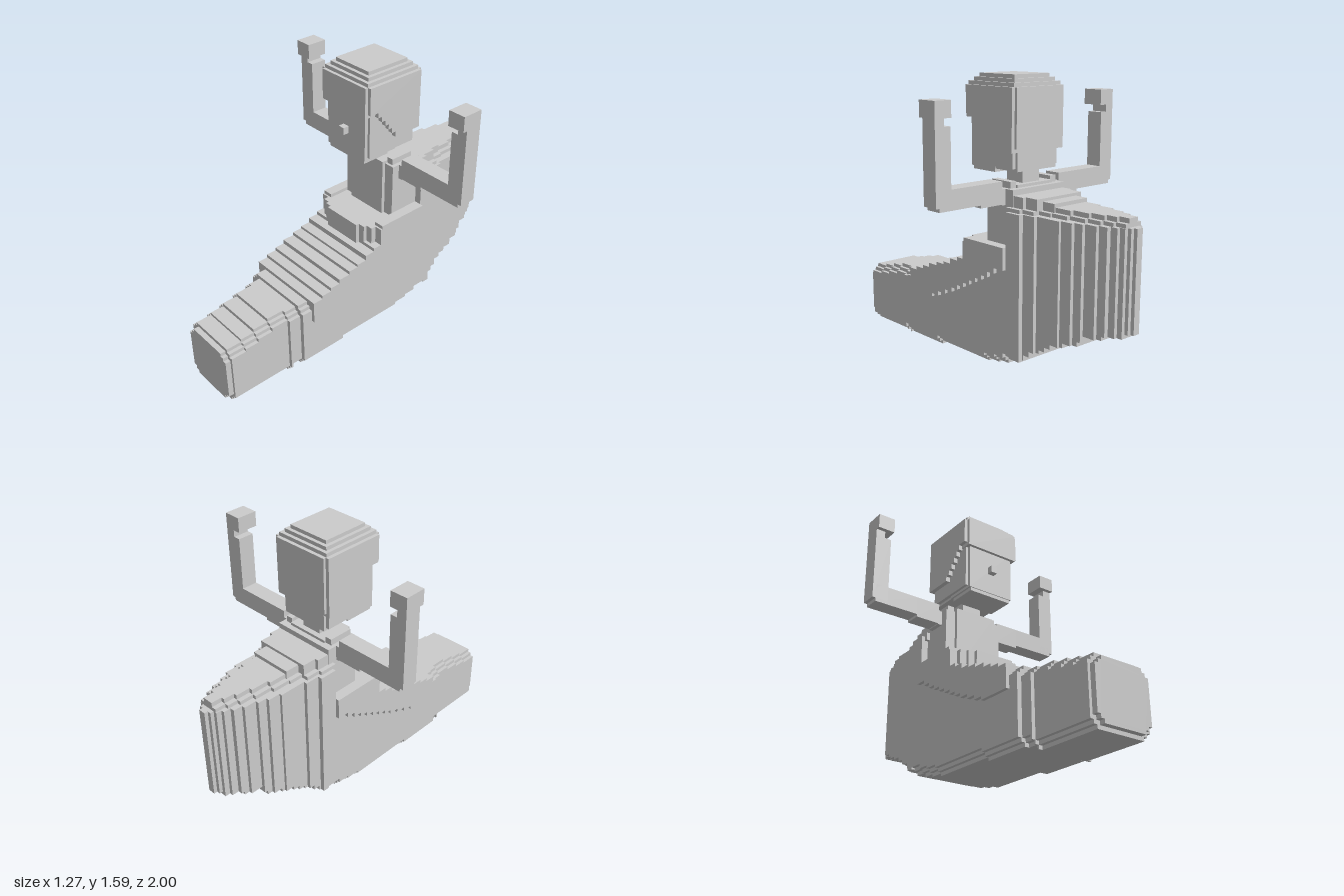
import * as THREE from 'three';

const material = new THREE.MeshStandardMaterial({ color: 0xcccccc, flatShading: true });
const U = 0.02; // size of one stair step

function add(parent, geometry, name) {
  const mesh = new THREE.Mesh(geometry, material);
  mesh.name = name;
  parent.add(mesh);
  return mesh;
}

// Box given by its limits
function block(parent, name, x0, x1, y0, y1, z0, z1) {
  const g = new THREE.BoxGeometry(x1 - x0, y1 - y0, z1 - z0);
  g.translate((x0 + x1) / 2, (y0 + y1) / 2, (z0 + z1) / 2);
  return add(parent, g, name);
}

// Slab along z with stair-stepped corners: lo steps at the bottom, hi steps at the top
function slab(parent, name, half, y0, y1, z0, z1, lo = 0, hi = 0) {
  const right = [];
  for (let i = lo; i >= 0; i--) {
    const x = Math.max(half - i * U, 0.01);
    right.push([x, y0 + (lo - i) * U]);
    if (i > 0) right.push([x, y0 + (lo - i + 1) * U]);
  }
  for (let i = 0; i <= hi; i++) {
    const x = Math.max(half - i * U, 0.01);
    if (i > 0) right.push([x, y1 - (hi - i + 1) * U]);
    right.push([x, y1 - (hi - i) * U]);
  }
  const left = right.map(([x, y]) => [-x, y]).reverse();
  const shape = new THREE.Shape([...right, ...left].map(([x, y]) => new THREE.Vector2(x, y)));
  const g = new THREE.ExtrudeGeometry(shape, { depth: z1 - z0, bevelEnabled: false });
  g.translate(0, 0, z0);
  return add(parent, g, name);
}

// Step tables, front to back: [z where the step ends, value]
const bottoms = [[0.97, 0.02], [0.6, 0], [0.26, 0.025], [-0.15, 0.045], [-0.23, 0.06], [-0.3, 0.075],
  [-0.38, 0.1], [-0.43, 0.13], [-0.47, 0.16], [-0.52, 0.19], [-0.56, 0.21], [-0.6, 0.235],
  [-0.67, 0.26], [-0.75, 0.285], [-0.77, 0.31], [-0.87, 0.34], [-0.96, 0.36], [-1, 0.38]];
const tops = [[0.97, 0.335], [0.88, 0.355], [0.8, 0.37], [0.71, 0.39], [0.54, 0.41], [0.48, 0.43],
  [0.42, 0.45], [0.36, 0.47], [0.3, 0.49], [0.23, 0.515], [0.17, 0.535], [0.11, 0.55], [0.05, 0.58],
  [0, 0.6], [-0.32, 0.7], [-1, 0.905]];
const halves = [[0.97, 0.165], [0.61, 0.18], [0.54, 0.2], [-0.42, 0.225], [-0.5, 0.2], [-0.65, 0.18],
  [-0.72, 0.165], [-0.77, 0.145], [-0.84, 0.125], [-0.89, 0.105], [-0.93, 0.08], [-0.96, 0.06],
  [-0.98, 0.04], [-1, 0.02]];
const lapEdges = [[0.28, 0.32], [0.22, 0.34], [0.16, 0.365], [0.1, 0.39], [0.05, 0.415], [0, 0.44],
  [-0.05, 0.465], [-0.1, 0.49], [-0.15, 0.515], [-0.2, 0.54], [-0.25, 0.57], [-0.32, 0.6]];
const at = (table, z) => (table.find(([end]) => z >= end) || table[table.length - 1])[1];

// Calls fn(zBack, zFront, zMiddle) between all breaks of the given tables
function eachStep(from, to, tables, fn) {
  const cuts = new Set([from, to]);
  tables.forEach(t => t.forEach(([z]) => { if (z < from && z > to) cuts.add(z); }));
  const zs = [...cuts].sort((a, b) => b - a);
  for (let i = 0; i + 1 < zs.length; i++) fn(zs[i + 1], zs[i], (zs[i] + zs[i + 1]) / 2);
}

function buildBody() {
  const body = new THREE.Group();
  body.name = 'body';
  // Long hull rising towards the pointed back
  eachStep(1, -1, [bottoms, tops, halves], (z0, z1, z) => {
    slab(body, 'hullSlab', at(halves, z), at(bottoms, z), at(tops, z), z0, z1,
      z > -0.4 ? 2 : 0, z > 0.48 ? 2 : 0);
  });
  // Wider lap over the middle
  eachStep(0.48, -0.32, [lapEdges, tops], (z0, z1, z) => {
    slab(body, 'lapSlab', 0.245, at(lapEdges, z), at(tops, z), z0, z1);
  });
  // Raised cap over the back
  const cap = [[-0.4, 0.18, 0.985], [-0.48, 0.16, 0.985], [-0.56, 0.12, 0.97], [-0.66, 0.11, 0.95],
    [-0.76, 0.09, 0.95], [-0.84, 0.07, 0.95], [-0.9, 0.05, 0.95], [-0.96, 0.03, 0.95]];
  let front = -0.3;
  for (const [z, half, top] of cap) {
    block(body, 'backCap', -half, half, 0.88, top, z, front);
    block(body, 'backCapRim', -half - 0.025, half + 0.025, 0.88, 0.925, z, front);
    front = z;
  }
  // Stepped waist in front of the torso
  for (const [half, z] of [[0.12, 0.07], [0.16, 0.05], [0.2, 0.03]]) {
    block(body, 'waist', -half, half, 0.5, 0.7, -0.3, z);
  }
  for (const s of [-1, 1]) {
    const x = s * 0.215;
    block(body, 'waistRim', x - 0.03, x + 0.03, 0.68, 0.72, -0.32, -0.01);
  }
  return body;
}

function buildTorso() {
  const torso = new THREE.Group();
  torso.name = 'torso';
  block(torso, 'chest', -0.125, 0.125, 0.65, 1.03, -0.3, -0.115);
  block(torso, 'chestSides', -0.185, 0.185, 0.65, 1.015, -0.33, -0.135);
  for (const s of [-1, 1]) {
    const x = s * 0.145;
    block(torso, 'shoulder', x - 0.02, x + 0.02, 0.98, 1.05, -0.29, -0.15);
  }
  block(torso, 'neck', -0.06, 0.06, 1.0, 1.1, -0.27, -0.15);
  return torso;
}

function buildHead() {
  const head = new THREE.Group();
  head.name = 'head';
  // Face and jaw
  block(head, 'face', -0.145, 0.145, 1.1, 1.4, -0.15, 0.035);
  block(head, 'cheeks', -0.16, 0.16, 1.115, 1.4, -0.3, 0.015);
  block(head, 'chin', -0.135, 0.135, 1.08, 1.12, -0.14, 0.03);
  block(head, 'nape', -0.14, 0.14, 1.1, 1.25, -0.315, -0.14);
  block(head, 'nose', -0.02, 0.02, 1.22, 1.26, 0.02, 0.07);
  // Hair: upper block, stepped crown and stepped side edges
  block(head, 'hair', -0.185, 0.185, 1.38, 1.53, -0.32, 0.035);
  block(head, 'hairFront', -0.165, 0.165, 1.36, 1.53, -0.3, 0.053);
  block(head, 'hairBack', -0.165, 0.165, 1.22, 1.53, -0.335, -0.2);
  for (let i = 0; i < 3; i++) {
    const d = i * 0.02;
    block(head, 'crown', -0.165 + d, 0.165 - d, 1.5, 1.55 + d, -0.315 + d, 0.035 - d);
  }
  for (let i = 0; i < 6; i++) {
    block(head, 'hairSide', -0.185, 0.185, 1.35 - i * 0.03, 1.39 - i * 0.03, -0.32, -0.02 - i * 0.025);
  }
  return head;
}

function buildArm(side) {
  const arm = new THREE.Group();
  arm.name = side > 0 ? 'leftArm' : 'rightArm';
  const part = (name, x0, x1, ...rest) =>
    block(arm, name, side > 0 ? x0 : -x1, side > 0 ? x1 : -x0, ...rest);
  part('upperArm', 0.17, 0.21, 0.93, 1.015, -0.275, -0.18);
  part('upperArm', 0.205, 0.35, 0.935, 1.055, -0.275, -0.18);
  part('upperArm', 0.35, 0.615, 0.95, 1.055, -0.275, -0.18);
  part('forearm', 0.54, 0.635, 0.97, 1.36, -0.275, -0.18);
  part('elbow', 0.54, 0.615, 0.95, 1.0, -0.275, -0.18);
  part('wrist', 0.58, 0.635, 1.35, 1.41, -0.275, -0.18);
  part('hand', 0.535, 0.635, 1.4, 1.485, -0.275, -0.155);
  return arm;
}

export function createModel() {
  const model = new THREE.Group();
  model.name = 'figure';
  model.add(buildBody(), buildTorso(), buildHead(), buildArm(1), buildArm(-1));
  return model;
}
